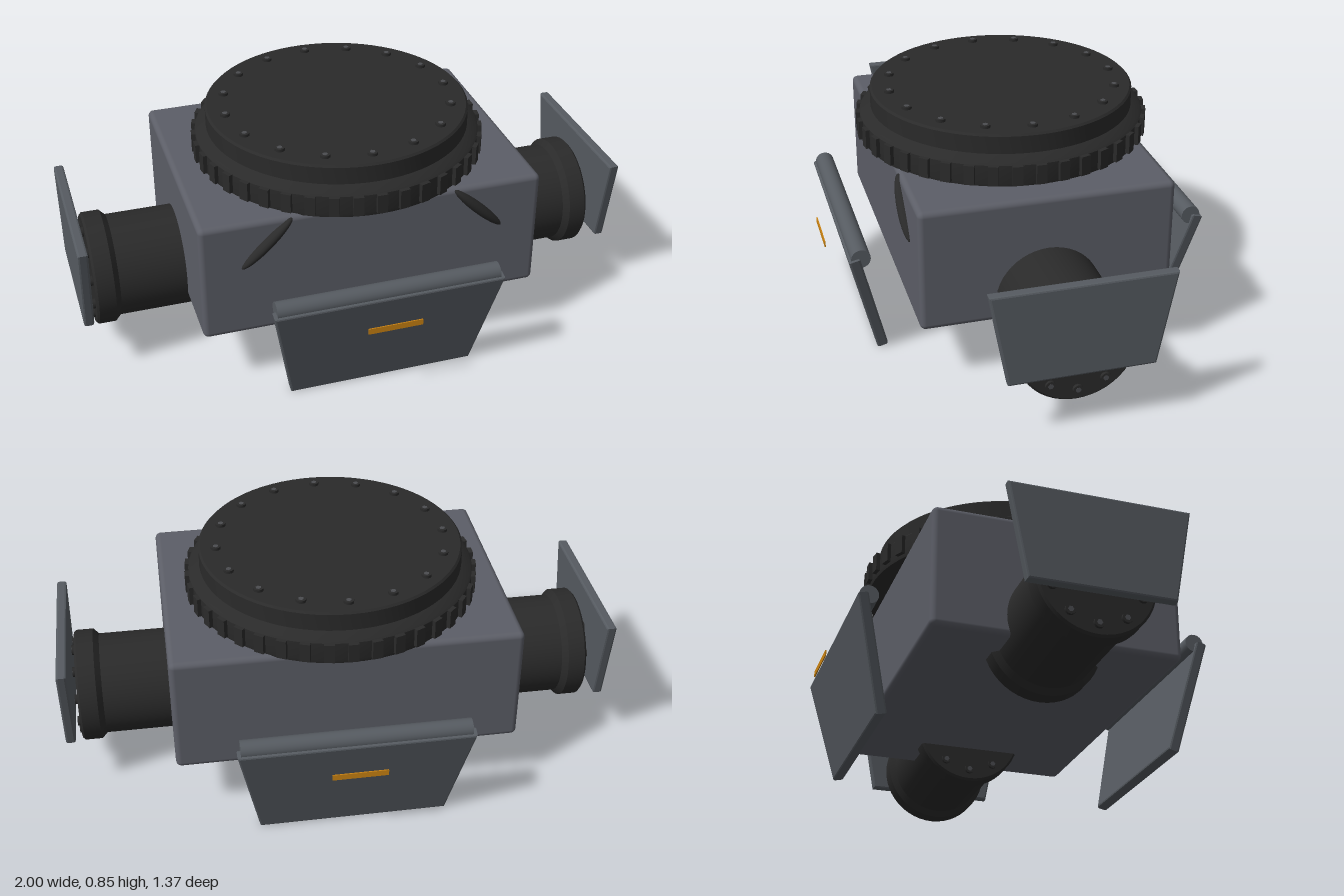
import * as THREE from 'three';
import { toCreasedNormals } from 'three/addons/utils/BufferGeometryUtils.js';
import { RoundedBoxGeometry } from 'three/addons/geometries/RoundedBoxGeometry.js';

const material = (name, color) => {
  const m = new THREE.MeshStandardMaterial({ color });
  m.name = name;
  return m;
};

export function createModel() {
  const hullGrey = material('hull grey', 0x5c5e67);
  const armourGrey = material('armour grey', 0x565b61);
  const black = material('machinery black', 0x2a2a2a);
  const boltGrey = material('bolt grey', 0x4b4c50);
  const amber = material('amber', 0xcc8412);

  const model = new THREE.Group();
  model.name = 'module';

  function add(parent, name, geometry, mat, x = 0, y = 0, z = 0) {
    const mesh = new THREE.Mesh(geometry, mat);
    mesh.name = name;
    mesh.position.set(x, y, z);
    parent.add(mesh);
    return mesh;
  }
  function group(parent, name) {
    const g = new THREE.Group();
    g.name = name;
    parent.add(g);
    return g;
  }
  const turned = (profile, segments) => toCreasedNormals(
    new THREE.LatheGeometry(profile.map(([r, y]) => new THREE.Vector2(r, y)), segments), 0.5);

  // Trapezoid plate centred on the origin, with softened edges
  function plateGeometry(topHalf, bottomHalf, height, thickness) {
    const b = 0.007, h = height / 2 - b;
    const shape = new THREE.Shape([
      new THREE.Vector2(-bottomHalf + b, -h), new THREE.Vector2(bottomHalf - b, -h),
      new THREE.Vector2(topHalf - b, h), new THREE.Vector2(-topHalf + b, h),
    ]);
    const g = new THREE.ExtrudeGeometry(shape, {
      depth: thickness - 2 * b, bevelThickness: b, bevelSize: b, bevelSegments: 2,
    });
    g.translate(0, 0, -thickness / 2 + b);
    return g;
  }

  // Ring of bolts around the local y axis; dir tells which way they point
  const boltBase = new THREE.CylinderGeometry(0.018, 0.018, 0.012, 12);
  const boltHead = new THREE.CylinderGeometry(0.01, 0.01, 0.016, 6);
  function boltRing(parent, count, radius, y, dir) {
    const ring = group(parent, 'boltRing');
    for (let i = 0; i < count; i++) {
      const a = i / count * Math.PI * 2;
      const x = Math.cos(a) * radius, z = Math.sin(a) * radius;
      add(ring, 'boltBase', boltBase, black, x, y + dir * 0.004, z);
      add(ring, 'boltHead', boltHead, boltGrey, x, y + dir * 0.003, z);
    }
  }

  // Main body
  add(model, 'body', new RoundedBoxGeometry(1.23, 0.445, 0.89, 3, 0.02), hullGrey, 0, 0.4425, 0);

  // Turntable on top with its toothed ring and bolts
  const turntable = group(model, 'turntable');
  add(turntable, 'turntableDisc', turned([
    [0, 0.66], [0.508, 0.66], [0.512, 0.675], [0.512, 0.742], [0.505, 0.75],
    [0.472, 0.767], [0.472, 0.83], [0.465, 0.837], [0, 0.837],
  ], 72), black);
  const teeth = group(turntable, 'ringTeeth');
  const toothGeometry = new THREE.BoxGeometry(0.04, 0.07, 0.036);
  for (let i = 0; i < 40; i++) {
    const a = i / 40 * Math.PI * 2;
    const tooth = add(teeth, 'tooth', toothGeometry, black, Math.cos(a) * 0.506, 0.708, Math.sin(a) * 0.506);
    tooth.rotation.y = -a;
  }
  boltRing(turntable, 16, 0.41, 0.837, 1);

  // Side drums and their outer plates
  const drumGeometry = turned([
    [0, 0.4], [0.197, 0.4], [0.205, 0.408], [0.205, 0.47], [0.185, 0.49],
    [0.185, 0.855], [0.205, 0.875], [0.205, 0.937], [0.197, 0.945], [0, 0.945],
  ], 48);
  const sidePlate = plateGeometry(0.31, 0.25, 0.334, 0.036);
  for (const [side, s] of [['left', 1], ['right', -1]]) {
    const drum = group(model, side + 'Drum');
    drum.position.y = 0.293;
    drum.rotation.z = -s * Math.PI / 2;
    add(drum, 'drumShell', drumGeometry, black);
    boltRing(drum, 10, 0.16, 0.945, 1);
    boltRing(drum, 10, 0.16, 0.4, -1);
    add(model, side + 'Plate', sidePlate, armourGrey, s * 0.982, 0.389, 0).rotation.y = s * Math.PI / 2;
  }

  // Tilted skirts with hinge rods and amber strips, front and back
  const skirt = plateGeometry(0.412, 0.337, 0.412, 0.04);
  const hinge = new THREE.CylinderGeometry(0.034, 0.034, 0.8, 24);
  const strip = new THREE.BoxGeometry(0.195, 0.022, 0.004);
  for (const [end, turn] of [['front', 0], ['back', Math.PI]]) {
    const assembly = group(model, end + 'Skirt');
    assembly.rotation.y = turn;
    add(assembly, 'skirtPlate', skirt, armourGrey, 0, 0.205, 0.577).rotation.x = 0.237;
    add(assembly, 'hingeRod', hinge, armourGrey, 0, 0.406, 0.602).rotation.z = Math.PI / 2;
    add(assembly, 'amberStrip', strip, amber, 0, 0.312, 0.683);
  }

  // Slanted lens-shaped bulges on the front face
  const bulge = new THREE.SphereGeometry(1, 28, 16);
  for (const s of [-1, 1]) {
    const lens = add(model, s > 0 ? 'leftLens' : 'rightLens', bulge, black, s * 0.382, 0.573, 0.443);
    lens.scale.set(0.125, 0.02, 0.026);
    lens.rotation.z = -s * 0.76;
  }

  return model;
}
